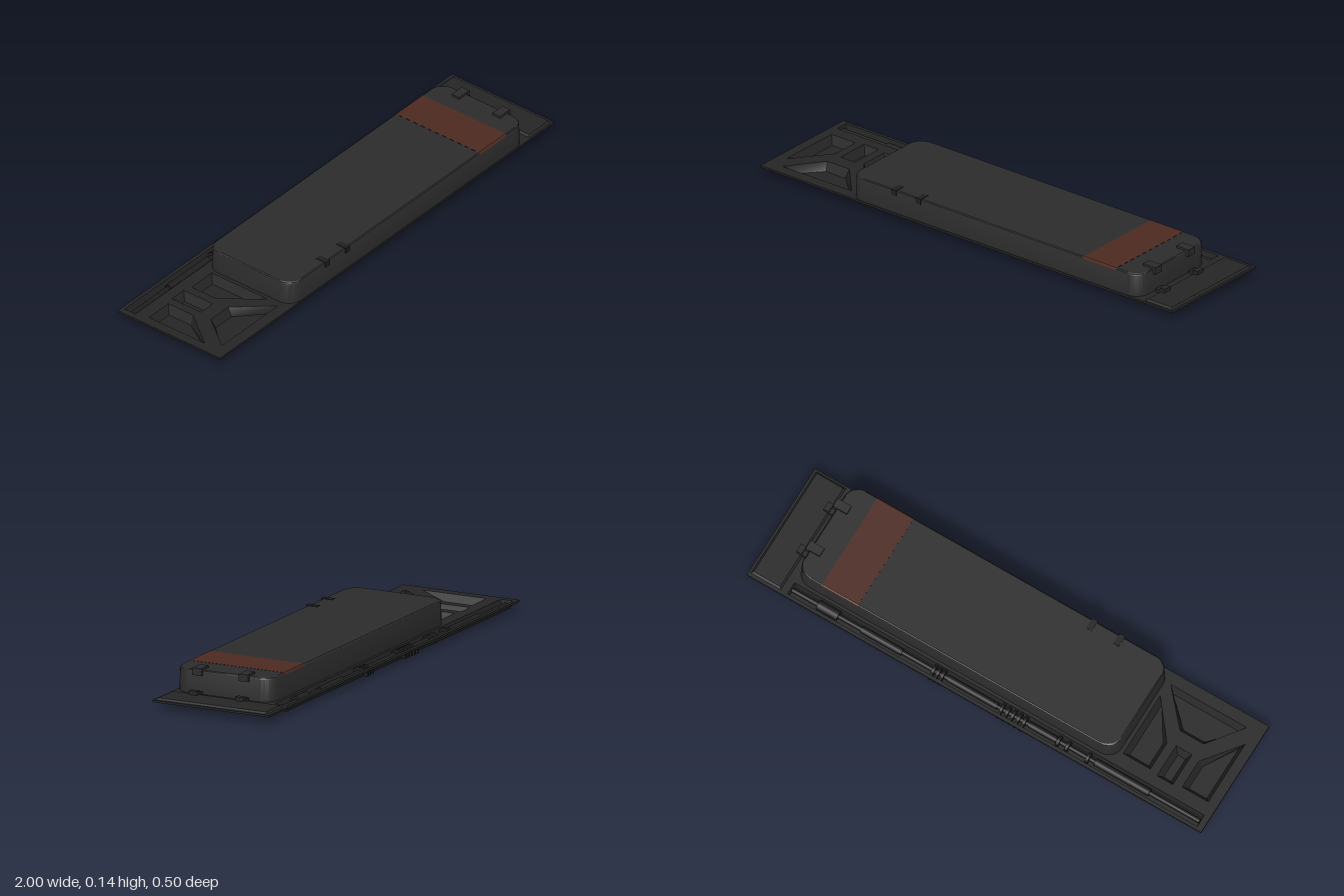
import * as THREE from 'three';
import { toCreasedNormals } from 'three/addons/utils/BufferGeometryUtils.js';

export function createModel() {
  const root = new THREE.Group();
  const paint = (name, color) => {
    const m = new THREE.MeshStandardMaterial({ color, side: THREE.DoubleSide });
    m.name = name;
    return m;
  };
  const charcoal = paint('charcoal', 0x2c2c2c);
  const graphite = paint('graphite', 0x262626);
  const black = paint('black', 0x1f1f1f);
  const rust = paint('rust', 0x4c2a20);

  const add = (name, geo, mat, x = 0, y = 0, z = 0) => {
    const m = new THREE.Mesh(geo, mat);
    m.name = name;
    m.position.set(x, y, z);
    root.add(m);
    return m;
  };
  // Box given by its limits
  const block = (name, mat, x0, x1, y0, y1, z0, z1) =>
    add(name, new THREE.BoxGeometry(x1 - x0, y1 - y0, z1 - z0), mat, (x0 + x1) / 2, (y0 + y1) / 2, (z0 + z1) / 2);

  // Rounded rectangle outline in x and z
  function roundedRect(x0, x1, z0, z1, r) {
    const pts = [];
    [[x1 - r, z1 - r], [x0 + r, z1 - r], [x0 + r, z0 + r], [x1 - r, z0 + r]].forEach(([cx, cz], q) => {
      for (let i = 0; i <= 6; i++) {
        const a = (q + i / 6) * Math.PI / 2;
        pts.push(new THREE.Vector2(cx + r * Math.cos(a), cz + r * Math.sin(a)));
      }
    });
    return pts;
  }
  // Wall surface joining outlines at different heights
  function loft(rings) {
    const pos = [], idx = [], n = rings[0].pts.length;
    rings.forEach(({ pts, y }) => pts.forEach(p => pos.push(p.x, y, p.y)));
    for (let k = 0; k < rings.length - 1; k++) {
      for (let i = 0; i < n; i++) {
        const a = k * n + i, b = k * n + (i + 1) % n;
        idx.push(a, a + n, b, b, a + n, b + n);
      }
    }
    const g = new THREE.BufferGeometry();
    g.setAttribute('position', new THREE.Float32BufferAttribute(pos, 3));
    g.setIndex(idx);
    return toCreasedNormals(g, 0.5);
  }
  const cap = (pts, holes = []) => {
    const s = new THREE.Shape(pts);
    s.holes = holes.map(h => new THREE.Path(h));
    return new THREE.ShapeGeometry(s).rotateX(Math.PI / 2);
  };
  const poly = list => list.map(([x, z]) => new THREE.Vector2(x, z));
  // Shrink an outline toward the middle of its limits
  function inset(pts, d) {
    const b = new THREE.Box2().setFromPoints(pts);
    const c = b.getCenter(new THREE.Vector2()), s = b.getSize(new THREE.Vector2());
    return pts.map(p => new THREE.Vector2(
      c.x + (p.x - c.x) * (1 - 2 * d / s.x), c.y + (p.y - c.y) * (1 - 2 * d / s.y)));
  }

  // Sunken pockets of the end panel and the long rear channel
  const pockets = [
    poly([[-0.96, -0.13], [-0.845, -0.13], [-0.845, -0.01], [-0.96, 0.14]]),
    poly([[-0.81, -0.14], [-0.74, -0.14], [-0.74, 0], [-0.81, 0]]),
    poly([[-0.705, -0.13], [-0.585, -0.13], [-0.585, 0.14], [-0.705, -0.01]]),
    poly([[-0.93, 0.2], [-0.825, 0.06], [-0.72, 0.06], [-0.595, 0.2]]),
  ];
  const channel = poly([[-0.975, -0.236], [0.83, -0.236], [0.83, -0.184], [-0.975, -0.184]]);
  const bodyOutline = roundedRect(-0.57, 0.835, -0.172, 0.245, 0.06);

  // Base plate, open below the body
  const top = 0.04;
  const plate = new THREE.Shape(poly([[-1, -0.25], [1, -0.25], [1, 0.247], [-1, 0.247]]));
  plate.holes = [...pockets, channel, inset(bodyOutline, 0.001)].map(p => new THREE.Path(p));
  add('basePlate', new THREE.ExtrudeGeometry(plate, { depth: 0.008, bevelEnabled: false }).rotateX(Math.PI / 2), graphite, 0, top, 0);
  pockets.forEach(p => {
    const floor = inset(p, 0.018);
    add('pocketWall', loft([{ pts: p, y: top }, { pts: floor, y: 0.006 }]), graphite);
    add('pocketFloor', cap(floor), graphite, 0, 0.006, 0);
  });
  const channelFloor = inset(channel, 0.006);
  add('channelWall', loft([{ pts: channel, y: top }, { pts: channelFloor, y: 0.013 }]), graphite);
  add('channelFloor', cap(channelFloor), graphite, 0, 0.013, 0);

  // Raised end panel with sloped rim
  const endOuter = poly([[0.855, -0.24], [0.995, -0.24], [0.995, 0.244], [0.855, 0.244]]);
  const endInner = inset(endOuter, 0.012);
  add('endPanelRim', loft([{ pts: endOuter, y: 0.036 }, { pts: endInner, y: 0.047 }]), graphite);
  add('endPanelTop', cap(endInner), graphite, 0, 0.047, 0);

  // Hollow body with softened upper edge
  const lid = inset(bodyOutline, 0.008);
  add('bodyWall', loft([
    { pts: bodyOutline, y: 0.03 }, { pts: inset(bodyOutline, 0.002), y: 0.125 },
    { pts: inset(bodyOutline, 0.004), y: 0.13 }, { pts: lid, y: 0.133 },
  ]), charcoal);
  add('bodyTop', cap(lid, [poly([[0.56, -0.16], [0.72, -0.16], [0.72, 0.233], [0.56, 0.233]])]), charcoal, 0, 0.133, 0);

  // Coloured band wrapped over the top edges
  const profile = [[0.2436, 0.125], [0.2416, 0.1304], [0.2372, 0.1336], [-0.1642, 0.1336], [-0.1686, 0.1304], [-0.1706, 0.125]];
  for (let i = 0; i < profile.length - 1; i++) {
    const [[za, ya], [zb, yb]] = [profile[i], profile[i + 1]];
    const strip = new THREE.PlaneGeometry(0.16, Math.hypot(zb - za, yb - ya));
    const m = add('colourBand', strip, rust, 0.64, (ya + yb) / 2, (za + zb) / 2);
    m.rotation.x = Math.atan2(yb - ya, zb - za);
    m.rotation.x = -m.rotation.x + Math.PI / 2;
  }

  // Hook clips on the end of the body, with catches on the plate
  for (const z of [0.14, -0.058]) {
    block('clipTop', charcoal, 0.785, 0.845, 0.132, 0.142, z - 0.018, z + 0.018);
    block('clipHook', charcoal, 0.832, 0.846, 0.114, 0.141, z - 0.02, z + 0.02);
    block('catchFoot', graphite, 0.84, 0.885, 0.036, 0.052, z - 0.022, z + 0.014);
    block('catchHead', graphite, 0.862, 0.885, 0.045, 0.062, z - 0.022, z + 0.014);
  }
  // Flush clips on the front edge
  for (const x of [-0.355, -0.235]) {
    block('frontClipTop', black, x - 0.012, x + 0.012, 0.126, 0.135, 0.2, 0.244);
    block('frontClipHook', black, x - 0.012, x + 0.012, 0.112, 0.135, 0.236, 0.2465);
  }

  // Rear shaft with collars of different widths
  const rod = (name, x0, x1, r) =>
    add(name, new THREE.CylinderGeometry(r, r, x1 - x0, 16).rotateZ(Math.PI / 2), black, (x0 + x1) / 2, 0.024, -0.208);
  rod('shaft', -0.97, 0.825, 0.009);
  [[-0.75, -0.51, 0.015], [-0.34, -0.22, 0.013], [-0.08, 0.14, 0.013], [0.34, 0.52, 0.014], [0.62, 0.71, 0.02]]
    .forEach(([a, b, r]) => rod('shaftSleeve', a, b, r));

  // Ribbed brackets holding the shaft
  const brackets = [-0.2, -0.175, -0.15, -0.125, -0.1, 0.16, 0.18, 0.2, -0.48, -0.39, -0.35];
  brackets.forEach((x, i) => {
    rod('bracketRing', x - 0.006, x + 0.006, 0.021);
    if (i < 8) block('bracketRib', black, x - 0.005, x + 0.005, 0.012, 0.035, -0.246, -0.14);
  });
  return root;
}
